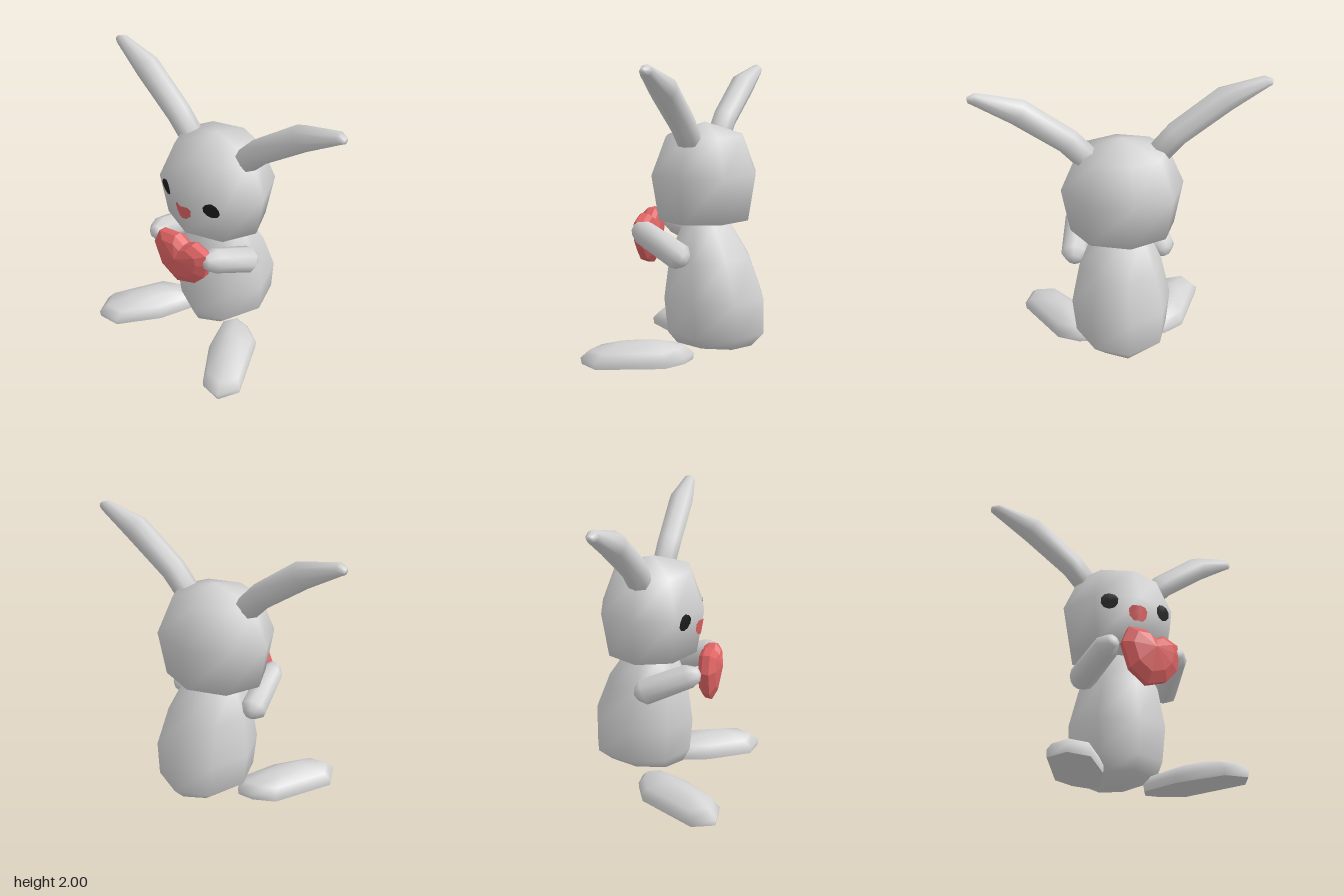
import * as THREE from 'three';
import { mergeVertices } from 'three/addons/utils/BufferGeometryUtils.js';

const V = (x, y, z) => new THREE.Vector3(x, y, z);

function material(name, color) {
  const m = new THREE.MeshStandardMaterial({ color });
  m.name = name;
  return m;
}

// Skin a closed surface over rings that run counter-clockwise about the direction of travel
function loft(rings) {
  const n = rings[0].length, index = [];
  for (let i = 0; i < rings.length - 1; i++) {
    for (let j = 0; j < n; j++) {
      const a = i * n + j, b = i * n + (j + 1) % n;
      index.push(a, b, b + n, a, b + n, a + n);
    }
  }
  let g = new THREE.BufferGeometry().setFromPoints(rings.flat());
  g.setIndex(index);
  g = mergeVertices(g, 1e-5);
  g.computeVertexNormals();
  return g;
}

// Horizontal eight-sided rings: [y, centre z, x radius, z radius]
function stack(levels) {
  return loft(levels.map(([y, cz, rx, rz]) => Array.from({ length: 8 }, (_, j) => {
    const a = j * Math.PI / 4;
    return V(Math.sin(a) * rx, y, cz + Math.cos(a) * rz);
  })));
}

// Round limb along points [x, y, z, radius]
function limb(path, ref) {
  const p = path.map(([x, y, z]) => V(x, y, z));
  return loft(path.map(([, , , r], i) => {
    const d = p[Math.min(i + 1, p.length - 1)].clone().sub(p[Math.max(i - 1, 0)]).normalize();
    const u = ref.clone().cross(d).normalize(), v = d.clone().cross(u);
    return Array.from({ length: 8 }, (_, j) => {
      const a = j * Math.PI / 4;
      return p[i].clone().addScaledVector(u, r * Math.cos(a)).addScaledVector(v, r * Math.sin(a));
    });
  }));
}

const HEAD_Z = -0.1, HEAD_WIDEN = 1.13;
const headLevels = [[0.91, 0], [0.96, 0.32], [1.27, 0.37], [1.53, 0.27], [1.62, 0]];

// Depth of the front of the head at (x, y)
function faceZ(x, y) {
  const k = y < 1.27 ? 1 : 2;
  const [y0, r0] = headLevels[k], [y1, r1] = headLevels[k + 1];
  const r = r0 + (r1 - r0) * (y - y0) / (y1 - y0);
  return HEAD_Z + r - 0.4142 * Math.abs(x) / HEAD_WIDEN;
}

// Thin patch that follows the face
function facePatch(cx, cy, outline) {
  return loft([1, 0.6, 0].map((s) => outline.map(([x, y]) => {
    const px = cx + x * s, py = cy + y * s;
    return V(px, py, faceZ(px, py) + 0.006);
  })));
}

export function createModel() {
  const model = new THREE.Group();
  model.name = 'rabbitWithHeart';
  const fur = material('grey fur', 0xd2d2d2);
  const red = material('soft red', 0xdf6464);
  const black = material('eye black', 0x1c1c1c);
  const heartRed = red.clone();
  heartRed.name = 'heart red';
  const add = (name, geometry, mat) => {
    const m = new THREE.Mesh(geometry, mat);
    m.name = name;
    model.add(m);
    return m;
  };

  // Head and pear-shaped body
  add('head', stack(headLevels.map(([y, r]) => [y, HEAD_Z, r * HEAD_WIDEN, r])), fur);
  add('body', stack([
    [0.02, -0.12, 0, 0], [0.09, -0.17, 0.2, 0.29], [0.19, -0.19, 0.325, 0.36],
    [0.43, -0.178, 0.35, 0.368], [0.7, -0.145, 0.29, 0.295],
    [0.93, -0.12, 0.19, 0.165], [0.96, -0.12, 0, 0],
  ]), fur).position.x = 0.022;

  // Eyes and nose
  const eye = Array.from({ length: 10 }, (_, i) => {
    const a = (i + 0.5) * Math.PI / 5;
    return [0.058 * Math.cos(a), 0.058 * Math.sin(a)];
  });
  add('rightEye', facePatch(-0.197, 1.236, eye), black);
  add('leftEye', facePatch(0.212, 1.232, eye), black);
  add('nose', facePatch(0, 1.16, [
    [0, 0.05], [-0.05, 0.05], [-0.07, 0.025], [-0.062, -0.025], [-0.03, -0.058],
    [0, -0.06], [0.03, -0.058], [0.062, -0.025], [0.07, 0.025], [0.05, 0.05],
  ]), red);

  const footOutline = [
    [0.61, 0.55], [0.45, 0.53], [0.25, 0.25], [0.15, -0.02],
    [0.2, -0.11], [0.32, -0.1], [0.47, -0.02], [0.68, 0.4],
  ];
  for (const s of [1, -1]) {
    const side = s > 0 ? 'left' : 'right';

    // Long drooping ear
    add(side + 'Ear', limb([
      [s * 0.23, 1.485, -0.1, 0], [s * 0.245, 1.5, -0.1, 0.085], [s * 0.36, 1.625, -0.1, 0.087],
      [s * 0.67, 1.855, -0.115, 0.09], [s * 0.935, 1.965, -0.13, 0.042], [s * 0.975, 1.96, -0.13, 0.022],
      [s * 0.98, 1.96, -0.13, 0],
    ], V(0, 0, 1)), fur);

    // Arm reaching forward to the heart
    const ax = (x) => 0.022 + s * x;
    add(side + 'Arm', limb([
      [ax(0.33), 0.715, -0.13, 0], [ax(0.325), 0.725, -0.11, 0.05], [ax(0.31), 0.74, -0.06, 0.095],
      [ax(0.25), 0.87, 0.23, 0.088], [ax(0.235), 0.89, 0.3, 0.05], [ax(0.233), 0.892, 0.315, 0],
    ], V(0, 1, 0)), fur);

    // Domed foot with a flat sole
    const outline = footOutline.map(([x, z]) => [s * x, z]);
    if (s > 0) outline.reverse();
    const ring = (y, k) => outline.map(([x, z]) =>
      V(s * 0.41 + (x - s * 0.41) * k, y, 0.2 + (z - 0.2) * k));
    add(side + 'Foot', loft([ring(0, 0.98), ring(0.045, 1), ring(0.1, 0.84), ring(0.14, 0.4), ring(0.148, 0)]), fur);
    add(side + 'Sole', loft([ring(0, 0), ring(0, 0.98)]), fur);
  }

  // Faceted heart, turned slightly to one side
  const heart = [
    [0.02, 0.61], [0.17, 0.66], [0.25, 0.75], [0.275, 0.86], [0.26, 0.94], [0.15, 0.985],
    [0.08, 0.95], [0.01, 1.0], [-0.12, 0.99], [-0.17, 0.87], [-0.11, 0.7],
  ];
  const heartRings = [[0, -0.08], [0.8, -0.055], [0.98, -0.025], [1, 0.025], [0.7, 0.065], [0, 0.095]];
  const heartGeometry = loft(heartRings.map(([k, z]) => heart.map(([x, y]) => {
    const px = 0.06 + (x - 0.06) * k;
    return V(px, 0.86 + (y - 0.86) * k, 0.308 - 0.12 * px + z);
  })));
  heartRed.flatShading = true;
  add('heart', heartGeometry, heartRed);

  return model;
}
